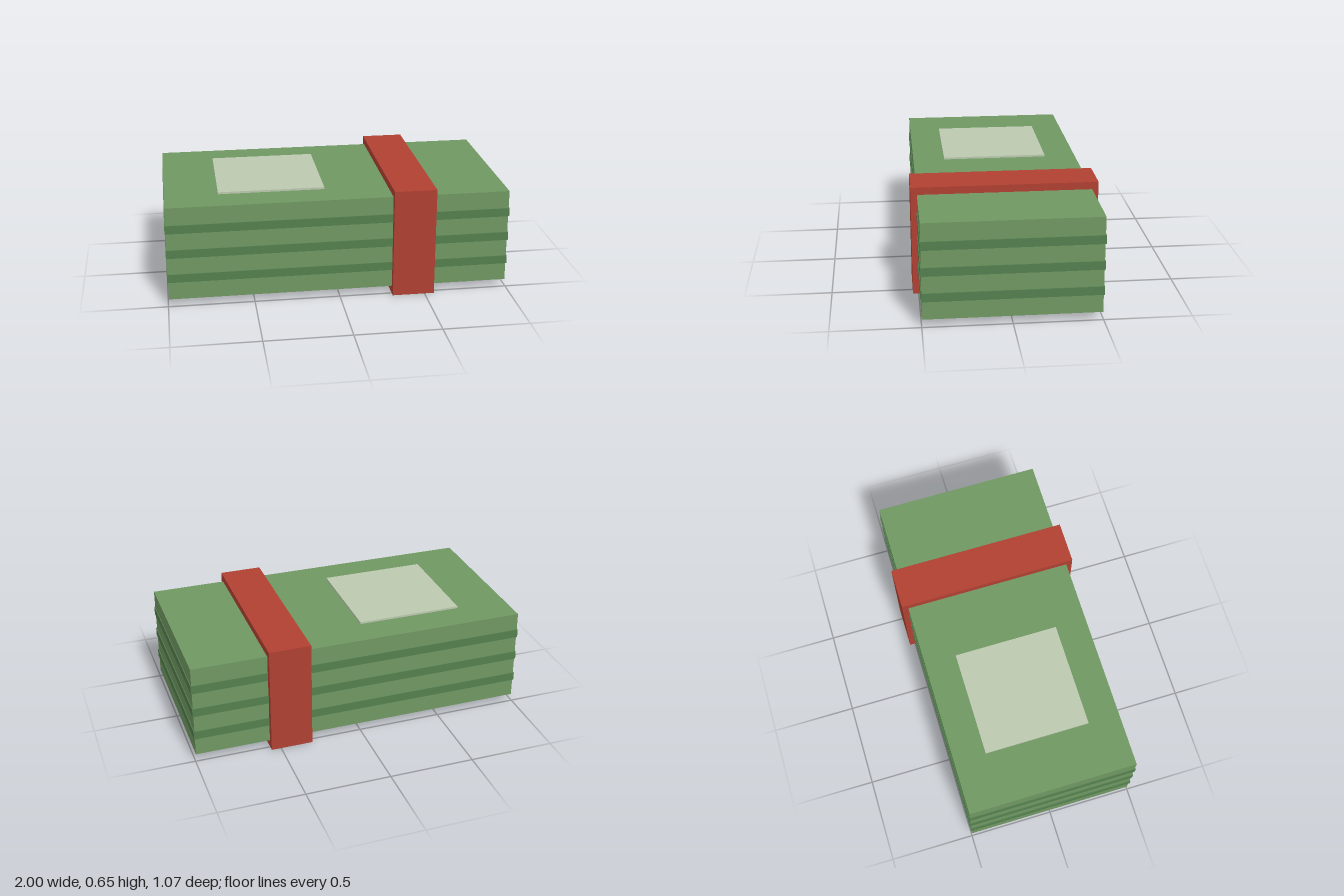
import * as THREE from 'three';

const material = (color) => new THREE.MeshStandardMaterial({ color });

export function createModel() {
  const group = new THREE.Group();
  const green = material(0x6f9762);
  const darkGreen = material(0x547f4e);
  const red = material(0xb04032);
  const pale = material(0xbcc9af);

  // Box given by its size, centre x and vertical extent
  const addBox = (name, mat, width, depth, x, y0, y1) => {
    const mesh = new THREE.Mesh(new THREE.BoxGeometry(width, y1 - y0, depth), mat);
    mesh.position.set(x, (y0 + y1) / 2, 0);
    mesh.name = name;
    group.add(mesh);
  };

  // Stack of notes with slightly protruding layers between the bundles
  addBox('noteStack', green, 1.99, 0.995, 0, 0.045, 0.605);
  [0.15, 0.3, 0.45].forEach((y, i) => {
    addBox(`layerEdge${i + 1}`, darkGreen, 2, 1.004, 0, y, y + 0.05);
  });

  // Pale square panels on the top and bottom faces
  addBox('topPanel', pale, 0.62, 0.62, -0.375, 0.6, 0.617);
  addBox('bottomPanel', pale, 0.62, 0.62, -0.375, 0.033, 0.05);

  // Strap wrapped around the stack
  addBox('strap', red, 0.247, 1.067, 0.433, 0, 0.648);

  return group;
}
